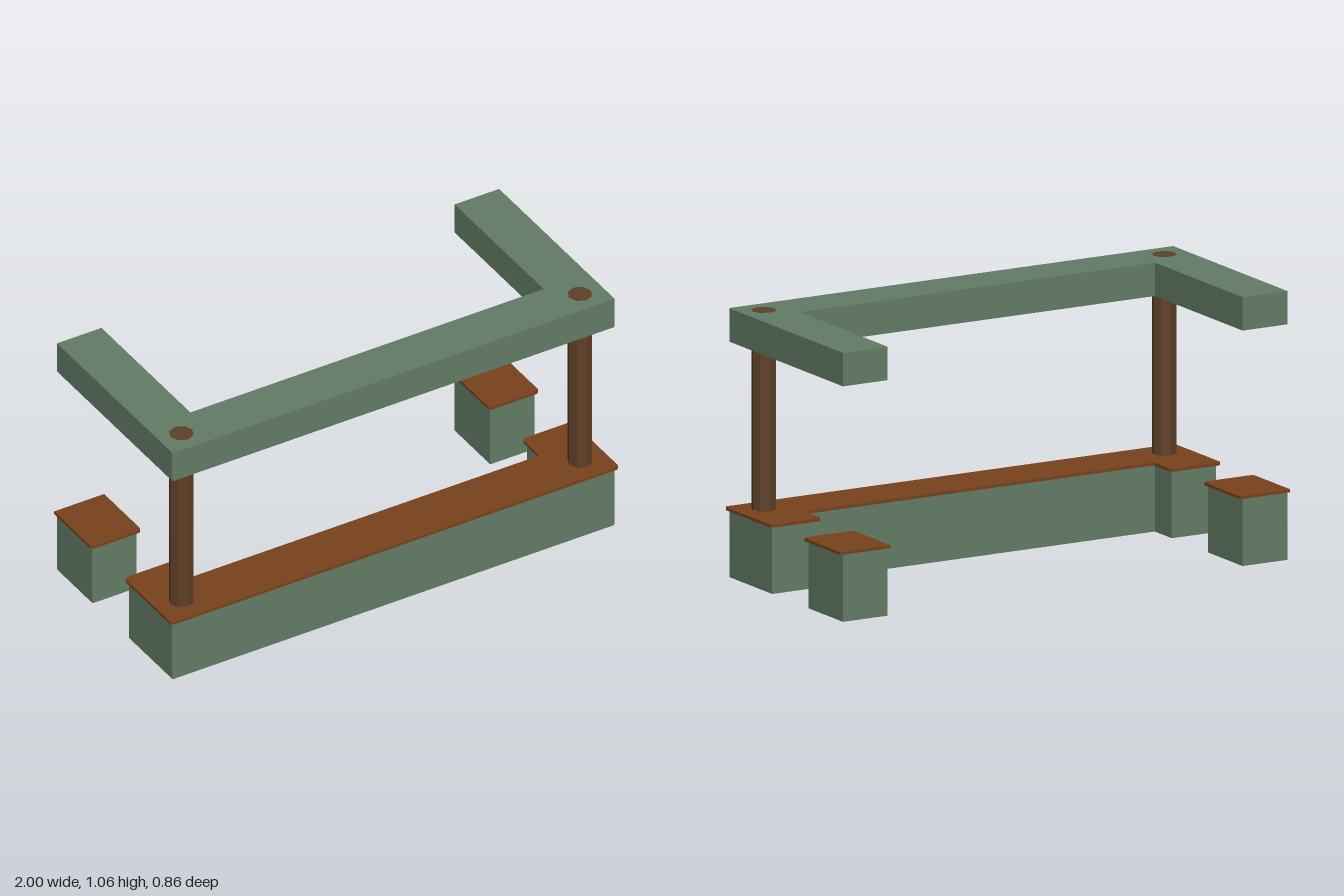
import * as THREE from 'three';

const GREEN = new THREE.MeshStandardMaterial({ color: 0x637d66, flatShading: true });
const TOP = new THREE.MeshStandardMaterial({ color: 0x78421c, flatShading: true });
const WOOD = new THREE.MeshStandardMaterial({ color: 0x5f4026, flatShading: true });

const BACK = -0.432;

// Slab from a plan outline of [x, z, chamfer] corners, between heights y0 and y1
function slab(name, corners, y0, y1, material) {
  const pts = [];
  corners.forEach(([x, z, c = 0], i) => {
    const p = new THREE.Vector2(x, -z);
    if (!c) return pts.push(p);
    for (const step of [-1, 1]) {
      const [nx, nz] = corners[(i + step + corners.length) % corners.length];
      const dir = new THREE.Vector2(nx, -nz).sub(p).normalize();
      pts.push(p.clone().addScaledVector(dir, c));
    }
  });
  const geo = new THREE.ExtrudeGeometry(new THREE.Shape(pts), { depth: y1 - y0, bevelEnabled: false });
  geo.rotateX(-Math.PI / 2).translate(0, y0, 0);
  const mesh = new THREE.Mesh(geo, material);
  mesh.name = name;
  return mesh;
}

// U-shaped plan: half width, front z, inner leg x, inner front z, leg end z
function uPlan(w, front, innerX, innerZ, end, c, endC) {
  return [
    [-w, front, c], [w, front, c], [w, end, endC], [innerX, end, endC],
    [innerX, innerZ], [-innerX, innerZ], [-innerX, end, endC], [-w, end, endC],
  ];
}

export function createModel() {
  const group = new THREE.Group();
  group.name = 'serviceCounter';

  // Front counter: U-shaped base with an overhanging worktop
  group.add(slab('counterBase', uPlan(0.985, 0.418, 0.787, 0.222, 0.095, 0.003, 0.003), 0, 0.263, GREEN));
  group.add(slab('counterTop', uPlan(0.998, 0.43, 0.775, 0.21, 0.082, 0.01, 0.01), 0.263, 0.275, TOP));

  // Overhead canopy beam
  group.add(slab('canopyBeam', uPlan(0.985, 0.418, 0.787, 0.222, BACK, 0.003, 0), 0.923, 1.054, GREEN));

  for (const s of [1, -1]) {
    const side = s > 0 ? 'left' : 'right';

    // Separate rear counter block and its worktop
    const block = (x0, x1, front, c) => [[s * x0, front, c], [s * x1, front, c], [s * x1, BACK], [s * x0, BACK]];
    group.add(slab(side + 'RearBase', block(0.787, 0.985, -0.17, 0.003), 0, 0.263, GREEN));
    group.add(slab(side + 'RearTop', block(0.775, 0.998, -0.157, 0.01), 0.263, 0.275, TOP));

    // Eight-sided post running through the beam
    const post = new THREE.Mesh(new THREE.CylinderGeometry(0.048, 0.048, 0.785, 8), WOOD);
    post.name = side + 'Post';
    post.position.set(s * 0.888, 0.6625, 0.322);
    group.add(post);
  }
  return group;
}
